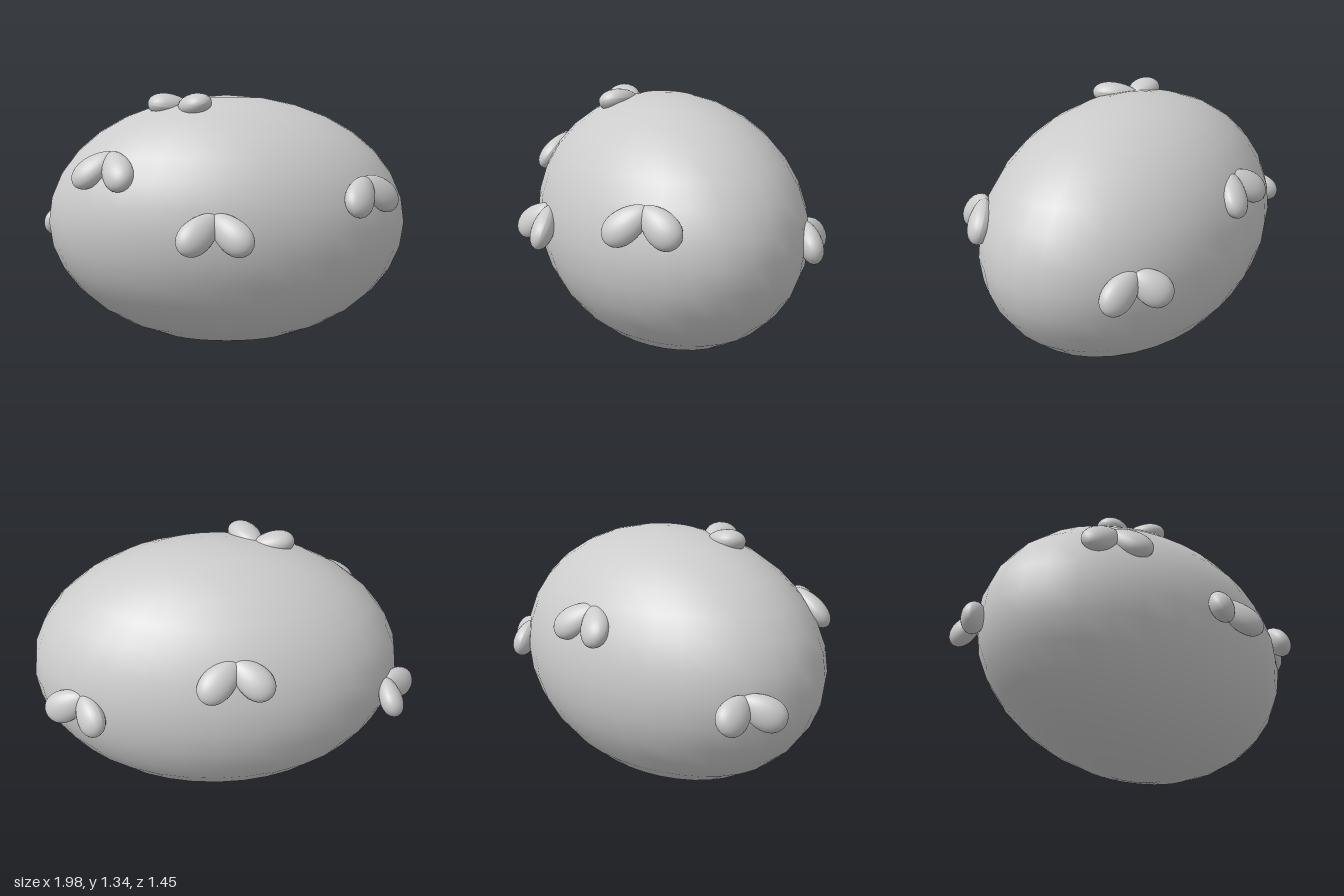
import * as THREE from 'three';

const V = (a) => new THREE.Vector3(...a);
const CENTRE = [0.042, 0.664, -0.042];
const RADII = [0.956, 0.664, 0.66];

// Each bud: the shared root of two lobes, then the tip of each lobe
const BUDS = {
  frontBud: [[-0.01, 0.755, 0.59], [-0.155, 0.625, 0.70], [0.145, 0.625, 0.70]],
  frontLeftBud: [[0.735, 0.91, 0.36], [0.665, 0.78, 0.515], [0.885, 0.79, 0.28]],
  frontRightBud: [[-0.53, 1.03, 0.33], [-0.70, 0.90, 0.35], [-0.455, 0.90, 0.495]],
  backLeftBud: [[0.70, 0.74, -0.49], [0.87, 0.63, -0.45], [0.63, 0.63, -0.62]],
  topBud: [[-0.17, 1.275, 0.07], [-0.345, 1.285, 0.09], [-0.08, 1.285, 0.255]],
  backBud: [[-0.04, 0.99, -0.58], [-0.19, 0.88, -0.675], [0.11, 0.875, -0.69]],
  backRightBud: [[-0.82, 0.68, -0.31], [-0.85, 0.59, -0.455], [-0.955, 0.59, -0.20]],
};

// Slightly pear-shaped unit lobe, fuller towards its tip (+y)
function lobeGeometry() {
  const g = new THREE.SphereGeometry(1, 24, 16);
  const p = g.attributes.position;
  for (let i = 0; i < p.count; i++) {
    const k = 1 + 0.2 * p.getY(i);
    p.setXYZ(i, p.getX(i) * k, p.getY(i), p.getZ(i) * k);
  }
  g.computeVertexNormals();
  return g;
}

// Outward direction of the body at a point
function bodyNormal(point) {
  const n = point.clone().sub(V(CENTRE));
  return n.divide(V(RADII)).divide(V(RADII)).normalize();
}

export function createModel() {
  const model = new THREE.Group();
  const material = new THREE.MeshStandardMaterial({ color: 0xcccccc });

  // Egg-shaped body
  const body = new THREE.Mesh(new THREE.SphereGeometry(1, 32, 16), material);
  body.name = 'body';
  body.scale.set(...RADII);
  body.position.set(...CENTRE);
  model.add(body);

  // Pairs of lobes sprouting from the body
  const geometry = lobeGeometry();
  for (const [name, [root, ...tips]] of Object.entries(BUDS)) {
    const bud = new THREE.Group();
    bud.name = name;
    for (const tip of tips) {
      const lobe = new THREE.Mesh(geometry, material);
      lobe.name = 'lobe';
      const from = V(root), to = V(tip);
      const axis = to.clone().sub(from);
      const half = axis.length() / 2 + 0.02;
      axis.normalize();
      const mid = from.add(to).multiplyScalar(0.5);
      const side = axis.clone().cross(bodyNormal(mid)).normalize();
      const out = side.clone().cross(axis);
      lobe.quaternion.setFromRotationMatrix(new THREE.Matrix4().makeBasis(side, axis, out));
      lobe.scale.set(0.08, half, 0.057);
      lobe.position.copy(mid);
      bud.add(lobe);
    }
    model.add(bud);
  }
  return model;
}
